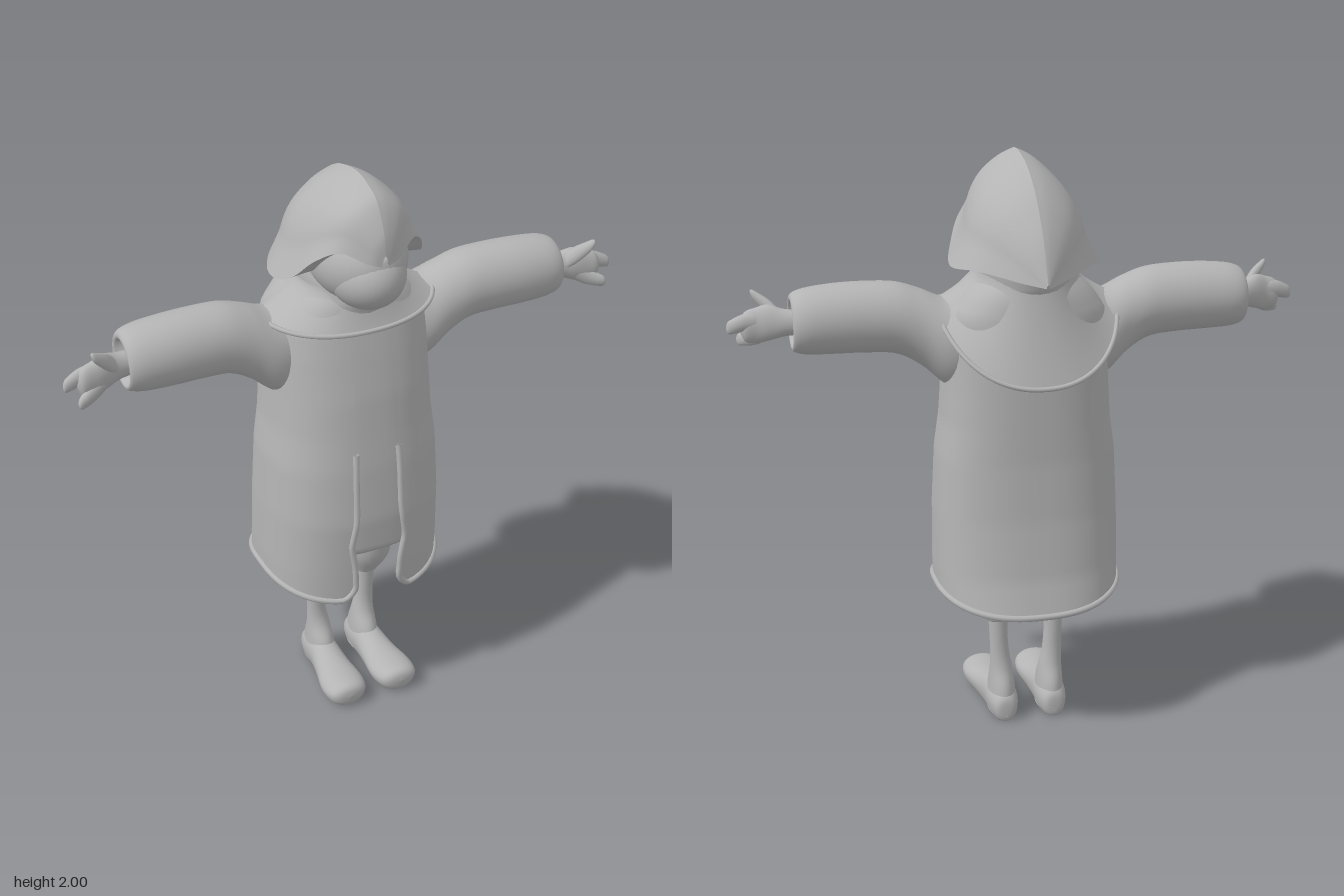
import * as THREE from 'three';

const cloth = new THREE.MeshStandardMaterial({ color: 0xb4b4b4, side: THREE.DoubleSide });
cloth.name = 'plain grey';

// Smooth sampling of rows of numbers, t in 0..1
function sample(rows, t) {
  const s = t * (rows.length - 1), i = Math.min(Math.floor(s), rows.length - 2), k = s - i;
  const at = j => rows[Math.max(0, Math.min(rows.length - 1, j))];
  const [a, b, c, d] = [at(i - 1), at(i), at(i + 1), at(i + 2)];
  return b.map((p, n) => {
    const m0 = (c[n] - a[n]) / 2, m1 = (d[n] - p) / 2, q = c[n] - p;
    return p + k * (m0 + k * (3 * q - 2 * m0 - m1 + k * (m0 + m1 - 2 * q)));
  });
}

// Linear lookup in a table keyed by its first column (ascending)
function lookup(rows, key) {
  let i = 0;
  while (i < rows.length - 2 && key > rows[i + 1][0]) i++;
  const k = THREE.MathUtils.clamp((key - rows[i][0]) / (rows[i + 1][0] - rows[i][0]), 0, 1);
  return rows[i].map((p, n) => p + (rows[i + 1][n] - p) * k);
}

// Surface from f(u, v) -> [x, y, z]; u may wrap around
function surface(name, f, nu, nv, wrap = true) {
  const pos = [], idx = [], cols = wrap ? nu : nu + 1;
  for (let j = 0; j <= nv; j++) for (let i = 0; i < cols; i++) pos.push(...f(i / nu, j / nv));
  for (let j = 0; j < nv; j++) for (let i = 0; i < nu; i++) {
    const a = j * cols + i, b = j * cols + (i + 1) % cols, c = a + cols, d = b + cols;
    idx.push(a, c, b, b, c, d);
  }
  const g = new THREE.BufferGeometry();
  g.setAttribute('position', new THREE.Float32BufferAttribute(pos, 3));
  g.setIndex(idx);
  g.computeVertexNormals();
  return mesh(name, g);
}

function mesh(name, g) {
  const m = new THREE.Mesh(g, cloth);
  m.name = name;
  return m;
}

// Limb with elliptical sections [x, y, z, ra, rb] lying across the given axis
function limb(name, axis, rows, nu = 24, nv = 32) {
  return surface(name, (u, v) => {
    const [x, y, z, ra, rb] = sample(rows, v), a = u * Math.PI * 2;
    const c = Math.cos(a) * Math.max(ra, 0.001), s = Math.sin(a) * Math.max(rb, 0.001);
    if (axis === 'x') return [x, y + c, z + s];
    if (axis === 'y') return [x + c, y, z + s];
    return [x + c, y + s, z];
  }, nu, nv);
}

// Boxy oval around the body: angle 0 is the front
function oval(a, w, zf, zb, p = 0.8) {
  const s = Math.sin(a), c = Math.cos(a);
  return [w * Math.sign(s) * Math.abs(s) ** p, (c > 0 ? zf : zb) * Math.abs(c) ** p];
}

function rim(name, points, r, closed = false) {
  const curve = new THREE.CatmullRomCurve3(points.map(p => new THREE.Vector3(...p)), closed);
  return mesh(name, new THREE.TubeGeometry(curve, 140, r, 8, closed));
}

// Columns: y, half width, front z, back z
const coatTable = [
  [0.46, 0.315, 0.285, -0.285], [0.6, 0.318, 0.292, -0.25], [0.8, 0.315, 0.3, -0.226],
  [1.0, 0.305, 0.285, -0.215], [1.12, 0.288, 0.27, -0.215], [1.25, 0.28, 0.255, -0.215],
  [1.4, 0.275, 0.228, -0.215], [1.5, 0.265, 0.208, -0.21], [1.57, 0.21, 0.195, -0.2], [1.62, 0.15, 0.18, -0.18]];

function coat() {
  const g = new THREE.Group();
  g.name = 'coat';
  const f = (u, v) => {
    const open = 0.19 + 0.05 * Math.max(0, 1 - Math.abs(v - 0.17) / 0.1);
    const a = open + u * 2 * (Math.PI - open), c = Math.cos(a);
    const corner = 0.05 * Math.max(0, 1 - Math.min(u, 1 - u) / 0.025) ** 2;
    const hem = 0.535 - 0.055 * Math.abs(c) ** 1.5 + corner;
    const y = hem + (1.61 - hem) * v, [, w, zf, zb] = lookup(coatTable, y);
    const [x, z] = oval(a, w, zf, zb);
    return [x, y, z];
  };
  g.add(surface('coatShell', f, 96, 48, false));
  // rolled hem and front edges in one line
  const edge = [];
  for (let i = 12; i >= 1; i--) edge.push(f(0, i / 24));
  for (let i = 0; i <= 60; i++) edge.push(f(i / 60, 0));
  for (let i = 1; i <= 12; i++) edge.push(f(1, i / 24));
  g.add(rim('coatHem', edge, 0.011));
  return g;
}

function tunic() {
  return surface('tunic', (u, v) => {
    const y = 0.63 + 0.95 * v ** 1.3, [, w, zf, zb] = lookup(coatTable, y);
    const k = Math.sqrt(1 - Math.max(0, 1 - v / 0.1) ** 2);
    const [x, z] = oval(u * Math.PI * 2, w * 0.93, zf - 0.012, zb + 0.025);
    return [x * k, y, z * k];
  }, 64, 40);
}

function cape() {
  const g = new THREE.Group();
  g.name = 'cape';
  const f = (u, v) => {
    const a = u * Math.PI * 2, back = Math.max(0, -Math.cos(a));
    const k = v ** (1.6 - 0.4 * back);
    const end = 1.525 - 0.235 * back ** 1.1 - 0.03 * Math.max(0, Math.cos(a));
    const [x, z] = oval(a, 0.165 + 0.14 * k, 0.19 + 0.035 * k, -0.2 - 0.09 * k, 0.9);
    return [x, 1.63 + (end - 1.63) * v, z];
  };
  g.add(surface('capeShell', f, 72, 16));
  g.add(rim('capeEdge', Array.from({ length: 48 }, (_, i) => f(i / 48, 1)), 0.008, true));
  return g;
}

// Hood sections from front to back: z, half width, ridge y, lower edge y
const hoodRows = [
  [0.312, 0.012, 1.8, 1.765], [0.3, 0.055, 1.87, 1.778], [0.25, 0.125, 1.955, 1.808],
  [0.19, 0.185, 1.985, 1.765], [0.12, 0.225, 2.0, 1.69], [0.04, 0.248, 1.99, 1.65],
  [-0.04, 0.245, 1.965, 1.645], [-0.13, 0.2, 1.91, 1.655], [-0.2, 0.14, 1.84, 1.65],
  [-0.26, 0.075, 1.755, 1.638], [-0.312, 0.006, 1.64, 1.628]];
// Half arch from ridge to lower edge: width share, height share
const arch = [[0, 1], [0.2, 0.93], [0.42, 0.8], [0.6, 0.65], [0.73, 0.47], [0.82, 0.27], [1, 0]];

function hood() {
  const g = new THREE.Group();
  g.name = 'hood';
  const side = s => (u, v) => {
    const [z, w, top, low] = sample(hoodRows, v), [px, py] = sample(arch, u);
    return [s * w * px, low + (top - low) * py, z];
  };
  // two halves keep the ridge sharp
  for (const s of [-1, 1]) g.add(surface(s > 0 ? 'hoodLeft' : 'hoodRight', side(s), 20, 50, false));
  g.add(surface('hoodUnderside', (u, v) => {
    const [z, w, , low] = sample(hoodRows, v), t = u * 2 - 1;
    return [w * t, low + 0.015 * (1 - t * t), z];
  }, 12, 50, false));
  return g;
}

function ball(name, p, s) {
  const m = mesh(name, new THREE.SphereGeometry(1, 36, 24));
  m.position.set(...p);
  m.scale.set(...s);
  return m;
}

function head() {
  const g = new THREE.Group();
  g.name = 'head';
  g.add(hood());
  g.add(ball('face', [0, 1.72, 0.1], [0.158, 0.15, 0.2]));
  g.add(ball('muzzle', [0, 1.685, 0.175], [0.125, 0.115, 0.145]));
  g.add(limb('neck', 'y', [
    [0, 1.45, 0, 0.2, 0.19], [0, 1.55, 0.005, 0.18, 0.2], [0, 1.6, 0, 0.165, 0.215],
    [0, 1.66, -0.01, 0.165, 0.21], [0, 1.72, 0, 0.14, 0.17], [0, 1.74, 0, 0, 0]], 36));
  return g;
}

function arm() {
  const g = new THREE.Group();
  // sleeve, turned in at the cuff
  g.add(limb('sleeve', 'x', [
    [0.18, 1.38, 0.0, 0.16, 0.12], [0.27, 1.39, 0.01, 0.148, 0.128], [0.35, 1.44, 0.02, 0.13, 0.115],
    [0.43, 1.475, 0.025, 0.12, 0.112], [0.53, 1.483, 0.03, 0.118, 0.113], [0.63, 1.483, 0.033, 0.116, 0.113],
    [0.72, 1.48, 0.033, 0.11, 0.108], [0.765, 1.478, 0.034, 0.098, 0.095], [0.775, 1.475, 0.036, 0.08, 0.078],
    [0.755, 1.475, 0.038, 0.06, 0.06], [0.72, 1.475, 0.04, 0, 0]], 32, 60));
  // hand
  g.add(limb('palm', 'x', [
    [0.72, 1.475, 0.04, 0.04, 0.035], [0.79, 1.475, 0.05, 0.045, 0.034], [0.84, 1.475, 0.065, 0.06, 0.034],
    [0.88, 1.465, 0.075, 0.06, 0.03], [0.92, 1.46, 0.08, 0.048, 0.026], [0.94, 1.46, 0.082, 0, 0]]));
  g.add(limb('thumb', 'x', [
    [0.8, 1.48, 0.06, 0.03, 0.025], [0.835, 1.515, 0.085, 0.03, 0.024], [0.87, 1.545, 0.105, 0.022, 0.018],
    [0.888, 1.562, 0.113, 0.014, 0.011], [0.895, 1.57, 0.115, 0, 0]], 12, 20));
  g.add(limb('indexFinger', 'x', [
    [0.87, 1.48, 0.07, 0.035, 0.024], [0.92, 1.478, 0.07, 0.03, 0.02], [0.96, 1.465, 0.076, 0.025, 0.016],
    [0.975, 1.46, 0.08, 0.018, 0.01], [0.98, 1.458, 0.082, 0, 0]], 12, 20));
  g.add(limb('lowerFingers', 'x', [
    [0.84, 1.455, 0.07, 0.035, 0.024], [0.88, 1.43, 0.085, 0.032, 0.024], [0.92, 1.415, 0.105, 0.025, 0.02],
    [0.94, 1.41, 0.116, 0.018, 0.012], [0.947, 1.41, 0.12, 0, 0]], 12, 20));
  return g;
}

function leg() {
  const g = new THREE.Group();
  g.add(limb('breeches', 'y', [
    [0.095, 0.74, 0.0, 0.085, 0.12], [0.098, 0.62, 0, 0.082, 0.115], [0.103, 0.52, -0.002, 0.08, 0.106],
    [0.104, 0.45, -0.003, 0.073, 0.085], [0.101, 0.39, -0.006, 0.05, 0.05], [0.1, 0.365, -0.01, 0.036, 0.034],
    [0.1, 0.36, -0.01, 0, 0]]));
  g.add(limb('shin', 'y', [
    [0.1, 0.4, -0.012, 0.036, 0.034], [0.099, 0.32, -0.016, 0.032, 0.031], [0.095, 0.24, -0.018, 0.034, 0.032],
    [0.09, 0.18, -0.016, 0.04, 0.045], [0.088, 0.12, -0.01, 0.046, 0.075], [0.088, 0.06, -0.01, 0.05, 0.085],
    [0.088, 0.02, -0.015, 0.05, 0.085]]));
  // shoe, flattened at the sole
  const rows = [
    [0.088, 0.045, -0.1, 0, 0], [0.088, 0.05, -0.092, 0.035, 0.042], [0.088, 0.06, -0.04, 0.053, 0.062],
    [0.09, 0.062, 0.04, 0.055, 0.063], [0.094, 0.055, 0.12, 0.065, 0.05], [0.098, 0.053, 0.2, 0.078, 0.045],
    [0.1, 0.055, 0.26, 0.07, 0.042], [0.101, 0.055, 0.285, 0.045, 0.028], [0.101, 0.055, 0.292, 0, 0]];
  g.add(surface('shoe', (u, v) => {
    const [cx, cy, z, rx, ry] = sample(rows, v), a = u * Math.PI * 2;
    const y = cy + Math.sin(a) * Math.max(ry, 0.001) * (Math.sin(a) < 0 ? 1.3 : 1);
    return [cx + Math.cos(a) * Math.max(rx, 0.001), Math.max(y, z > 0.1 ? 0.012 - (0.292 - z) * 0.04 : 0.002), z];
  }, 28, 36));
  return g;
}

export function createModel() {
  const model = new THREE.Group();
  model.name = 'hoodedFigure';
  model.add(coat(), tunic(), cape(), head());
  for (const [name, build] of [['Arm', arm], ['Leg', leg]]) {
    for (const s of [1, -1]) {
      const part = build();
      part.name = (s > 0 ? 'left' : 'right') + name;
      part.scale.x = s;
      model.add(part);
    }
  }
  return model;
}
